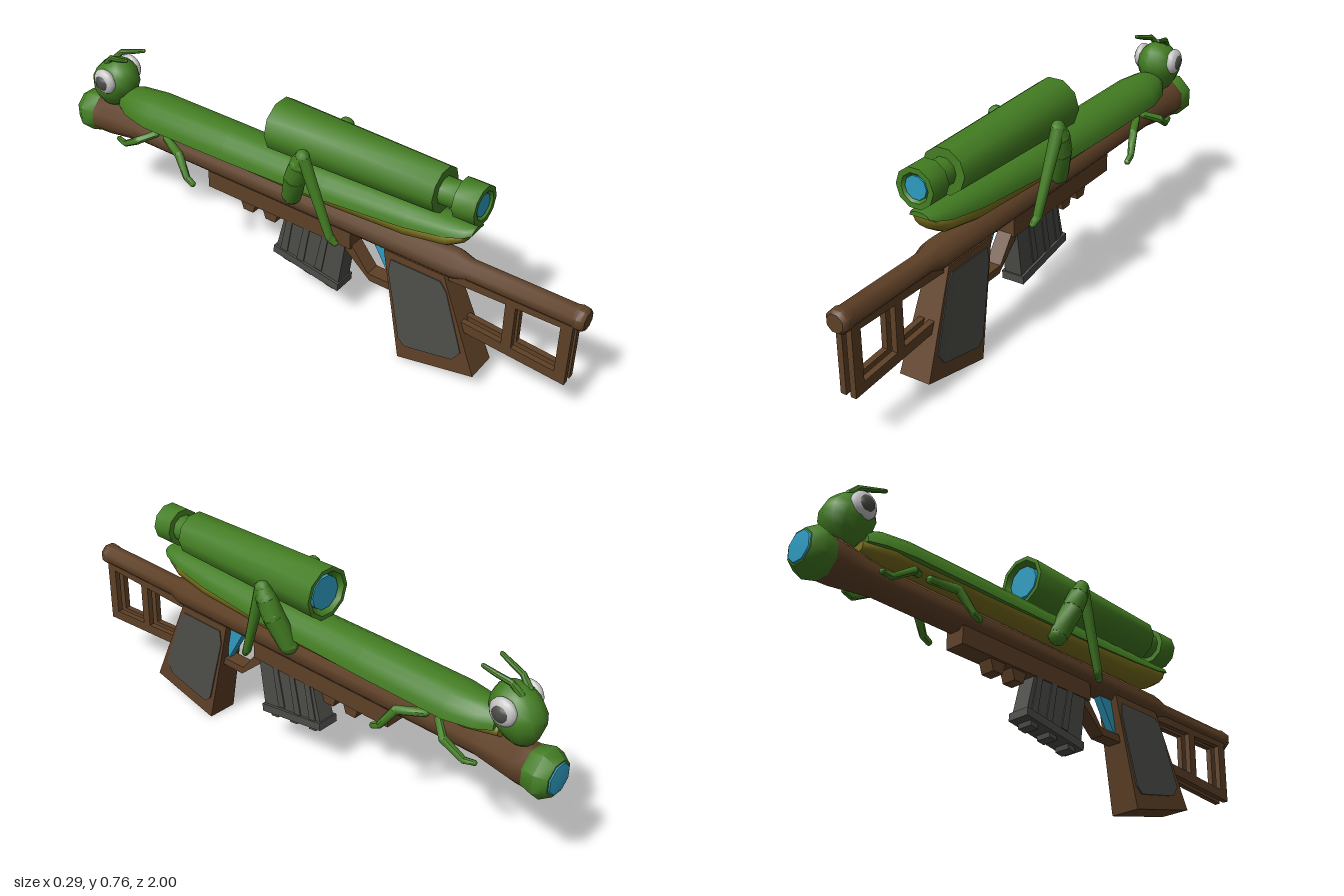
import * as THREE from 'three';
import { toCreasedNormals } from 'three/addons/utils/BufferGeometryUtils.js';

const mat = (name, color) => Object.assign(new THREE.MeshStandardMaterial({ color }), { name });

export function createModel() {
  const root = new THREE.Group();
  root.name = 'insectRifle';
  const green = mat('leafGreen', 0x437d22);
  const brown = mat('barkBrown', 0x5e4026);
  const olive = mat('bellyOlive', 0x7c701e);
  const blue = mat('lensBlue', 0x2e9bc0);
  const grey = mat('darkGrey', 0x4c4c48);
  const white = mat('eyeWhite', 0xc4c4c4);

  const add = (name, geo, material, crease = 0.9) => {
    const mesh = new THREE.Mesh(toCreasedNormals(geo, crease), material);
    mesh.name = name;
    root.add(mesh);
    return mesh;
  };

  // Turned part along z: profile of [z, radius], z ascending
  const turned = (name, y, profile, sides, material, phase = 0) => {
    const geo = new THREE.LatheGeometry(profile.map(([z, r]) => new THREE.Vector2(r, z)), sides, phase);
    return add(name, geo.rotateX(Math.PI / 2).translate(0, y, 0), material, 0.85);
  };

  // Side profile of [z, y] extruded across x, with an optional half-width rule by height
  const slab = (name, outline, halfWidth, material, x = 0, widthAt = null) => {
    const shape = new THREE.Shape(outline.map(([z, y]) => new THREE.Vector2(z, y)));
    const geo = new THREE.ExtrudeGeometry(shape, { depth: 2, bevelEnabled: false });
    geo.translate(0, 0, -1).rotateY(-Math.PI / 2);
    const p = geo.attributes.position;
    for (let i = 0; i < p.count; i++) {
      p.setX(i, x + p.getX(i) * (widthAt ? widthAt(p.getY(i)) : halfWidth));
    }
    return add(name, geo, material, 0.5);
  };

  // Skin over closed rings; ring(section, t) gives [x, y], sections ascend in z
  const loft = (name, sections, ring, n, material) => {
    const pos = [], idx = [];
    const all = [sections[0], ...sections, sections[sections.length - 1]];
    all.forEach((s, i) => {
      const end = i === 0 || i === all.length - 1;
      for (let j = 0; j < n; j++) {
        const [x, y] = end ? [0, s[1]] : ring(s, j);
        pos.push(x, y, s[0]);
      }
    });
    for (let i = 0; i < all.length - 1; i++) {
      for (let j = 0; j < n; j++) {
        const a = i * n + j, b = i * n + (j + 1) % n;
        idx.push(a, b, a + n, b, b + n, a + n);
      }
    }
    const geo = new THREE.BufferGeometry();
    geo.setAttribute('position', new THREE.Float32BufferAttribute(pos, 3));
    geo.setIndex(idx);
    return add(name, geo, material, 0.9);
  };

  // Jointed limb through points [x, y, z, radius]
  const limb = (name, pts, s) => {
    pts.forEach(([x, y, z, r], i) => {
      const a = new THREE.Vector3(s * x, y, z);
      add(name + 'Joint', new THREE.SphereGeometry(r, 8, 6).translate(a.x, a.y, a.z), green);
      if (i === pts.length - 1) return;
      const [bx, by, bz, br] = pts[i + 1];
      const b = new THREE.Vector3(s * bx, by, bz);
      const d = b.clone().sub(a);
      const rod = add(name, new THREE.CylinderGeometry(br, r, d.length(), 8), green);
      rod.position.copy(a).add(b).multiplyScalar(0.5);
      rod.quaternion.setFromUnitVectors(new THREE.Vector3(0, 1, 0), d.normalize());
    });
  };

  // Barrel and muzzle
  turned('barrel', 0.432, [[-0.93, 0], [-0.93, 0.072], [-0.87, 0.07], [-0.72, 0.05], [0.56, 0.051],
    [0.61, 0.037], [0.96, 0.037], [0.975, 0.041], [0.99, 0.039], [1, 0.03], [1, 0]], 8, brown, Math.PI / 8);
  turned('muzzleRing', 0.432, [[-0.992, 0], [-0.992, 0.058], [-0.955, 0.083], [-0.905, 0.07], [-0.9, 0]], 8, green, Math.PI / 8);
  turned('muzzleLens', 0.432, [[-1, 0], [-0.996, 0.05], [-0.99, 0.054], [-0.99, 0]], 8, blue, Math.PI / 8);

  // Insect body: [z, base y, half width, height]
  loft('wingShell', [[-0.79, 0.52, 0.045, 0.05], [-0.74, 0.515, 0.072, 0.072], [-0.64, 0.51, 0.09, 0.085],
    [-0.3, 0.512, 0.086, 0.086], [0.1, 0.52, 0.08, 0.077], [0.4, 0.54, 0.07, 0.062],
    [0.54, 0.558, 0.058, 0.044], [0.6, 0.576, 0.048, 0.028], [0.62, 0.585, 0.035, 0.016]],
  ([, y, w, h], j) => [w * Math.cos(j * Math.PI / 10), y + h * Math.sin(j * Math.PI / 10)], 11, green);
  loft('belly', [[-0.8, 0.51, 0.035, 0.025], [-0.7, 0.515, 0.07, 0.04], [-0.4, 0.52, 0.076, 0.047],
    [0.1, 0.52, 0.074, 0.047], [0.4, 0.532, 0.068, 0.05], [0.54, 0.548, 0.058, 0.042],
    [0.59, 0.565, 0.045, 0.028], [0.61, 0.58, 0.03, 0.012]],
  ([, y, w, h], j) => [w * Math.cos(j * Math.PI / 6), y + h * Math.sin(j * Math.PI / 6)], 12, olive);

  // Head, narrowing towards the jaw
  const headGeo = new THREE.SphereGeometry(1, 12, 9);
  const hp = headGeo.attributes.position;
  for (let i = 0; i < hp.count; i++) {
    const y = hp.getY(i), k = y < 0 ? 1 + 0.3 * y : 1;
    hp.setXYZ(i, hp.getX(i) * 0.077 * k, y * 0.098, hp.getZ(i) * 0.09 * k - 0.84 + 0.02 * y);
  }
  add('head', headGeo.translate(0, 0.58, 0), green);

  for (const s of [1, -1]) {
    // Eyes
    const ball = (name, x, r, w, m) => add(name,
      new THREE.SphereGeometry(1, 14, 10).scale(w, r, r).translate(s * x, 0.613, -0.83), m);
    ball('eye', 0.064, 0.046, 0.024, white);
    ball('pupil', 0.077, 0.03, 0.014, grey);

    // Antennae
    limb('antenna', [[0.02, 0.66, -0.855, 0.011], [0.028, 0.69, -0.825, 0.01],
      [0.037, 0.702, -0.78, 0.009], [0.044, 0.715, -0.738, 0.007]], s);

    // Jumping legs
    limb('thigh', [[0.075, 0.49, -0.012, 0.034], [0.104, 0.59, 0.025, 0.038],
      [0.113, 0.65, 0.047, 0.034], [0.115, 0.685, 0.06, 0.024]], s);
    limb('shin', [[0.118, 0.685, 0.065, 0.022], [0.1, 0.41, 0.155, 0.015], [0.093, 0.39, 0.17, 0.012]], s);

    // Middle and front legs
    limb('middleLeg', [[0.06, 0.48, -0.56, 0.014], [0.095, 0.467, -0.475, 0.015],
      [0.112, 0.4, -0.43, 0.012], [0.113, 0.387, -0.405, 0.011]], s);
    limb('frontLeg', [[0.06, 0.48, -0.61, 0.013], [0.1, 0.455, -0.66, 0.014],
      [0.09, 0.41, -0.73, 0.011], [0.085, 0.415, -0.765, 0.009]], s);
  }

  // Scope
  const scopeY = 0.682, ph = Math.PI / 10;
  turned('scope', scopeY, [[-0.085, 0], [-0.085, 0.06], [-0.11, 0.076], [-0.11, 0.09], [0.5, 0.076], [0.5, 0.046],
    [0.56, 0.046], [0.56, 0.066], [0.635, 0.066], [0.635, 0.048], [0.625, 0.04], [0.625, 0]], 10, green, ph);
  turned('frontLens', scopeY, [[-0.1, 0], [-0.1, 0.058], [-0.08, 0.058]], 10, blue, ph);
  turned('eyeLens', scopeY, [[0.62, 0.038], [0.63, 0.038], [0.63, 0]], 10, blue, ph);

  // Skeleton stock, twin side frames
  for (const x of [-0.018, 0.018]) {
    slab('stockRearBar', [[0.93, 0.4], [0.93, 0.19], [0.968, 0.18], [0.968, 0.4]], 0.01, brown, x);
    slab('stockMiddleBar', [[0.748, 0.4], [0.748, 0.21], [0.782, 0.21], [0.782, 0.4]], 0.01, brown, x);
    slab('stockLowerBar', [[0.968, 0.18], [0.58, 0.207], [0.58, 0.243], [0.968, 0.214]], 0.01, brown, x);
    slab('stockUpperBar', [[0.968, 0.39], [0.55, 0.38], [0.55, 0.41], [0.968, 0.41]], 0.01, brown, x);
  }

  // Grip with inset side panels, wider at the foot
  const gripWidth = (y) => 0.055 - 0.016 * Math.max(0, y - 0.07) / 0.33;
  slab('grip', [[0.54, 0.4], [0.32, 0.4], [0.4, 0.003], [0.678, 0.068]], 0, brown, 0, gripWidth);
  slab('gripPanel', [[0.53, 0.375], [0.35, 0.375], [0.343, 0.33], [0.4, 0.085], [0.425, 0.062],
    [0.6, 0.1], [0.627, 0.14], [0.555, 0.345]], 0, grey, 0, (y) => gripWidth(y) + 0.003);

  // Trigger and guard
  slab('trigger', [[0.335, 0.395], [0.26, 0.395], [0.275, 0.37], [0.342, 0.255]], 0.014, blue);
  slab('triggerGuard', [[0.36, 0.262], [0.36, 0.235], [0.262, 0.235], [0.17, 0.315], [0.12, 0.335],
    [0.12, 0.395], [0.19, 0.395], [0.19, 0.345], [0.255, 0.262]], 0.026, brown);

  // Fore rail with two lugs
  slab('foreRail', [[0.19, 0.4], [0.19, 0.336], [-0.4, 0.336], [-0.4, 0.4]], 0.036, brown);
  for (const z of [-0.143, -0.237]) {
    slab('railLug', [[z + 0.034, 0.34], [z + 0.02, 0.297], [z - 0.02, 0.297], [z - 0.034, 0.34]], 0.026, brown);
  }

  // Magazine with ribs and a studded base plate
  slab('magazine', [[0.168, 0.34], [0.142, 0.16], [-0.115, 0.2], [-0.078, 0.34]], 0.032, grey);
  for (const z of [0.09, 0.015, -0.055]) {
    slab('magazineRib', [[z + 0.012, 0.336], [z - 0.012, 0.336], [z - 0.042, 0.195], [z - 0.014, 0.19]], 0.036, grey);
  }
  slab('magazineBase', [[0.148, 0.172], [0.146, 0.143], [-0.12, 0.187], [-0.117, 0.215]], 0.041, grey);
  for (const [z, y] of [[0.1, 0.145], [0.012, 0.16], [-0.075, 0.174]]) {
    slab('baseStud', [[z + 0.02, y + 0.01], [z + 0.017, y - 0.014], [z - 0.014, y - 0.009], [z - 0.017, y + 0.015]], 0.028, grey);
  }
  return root;
}
